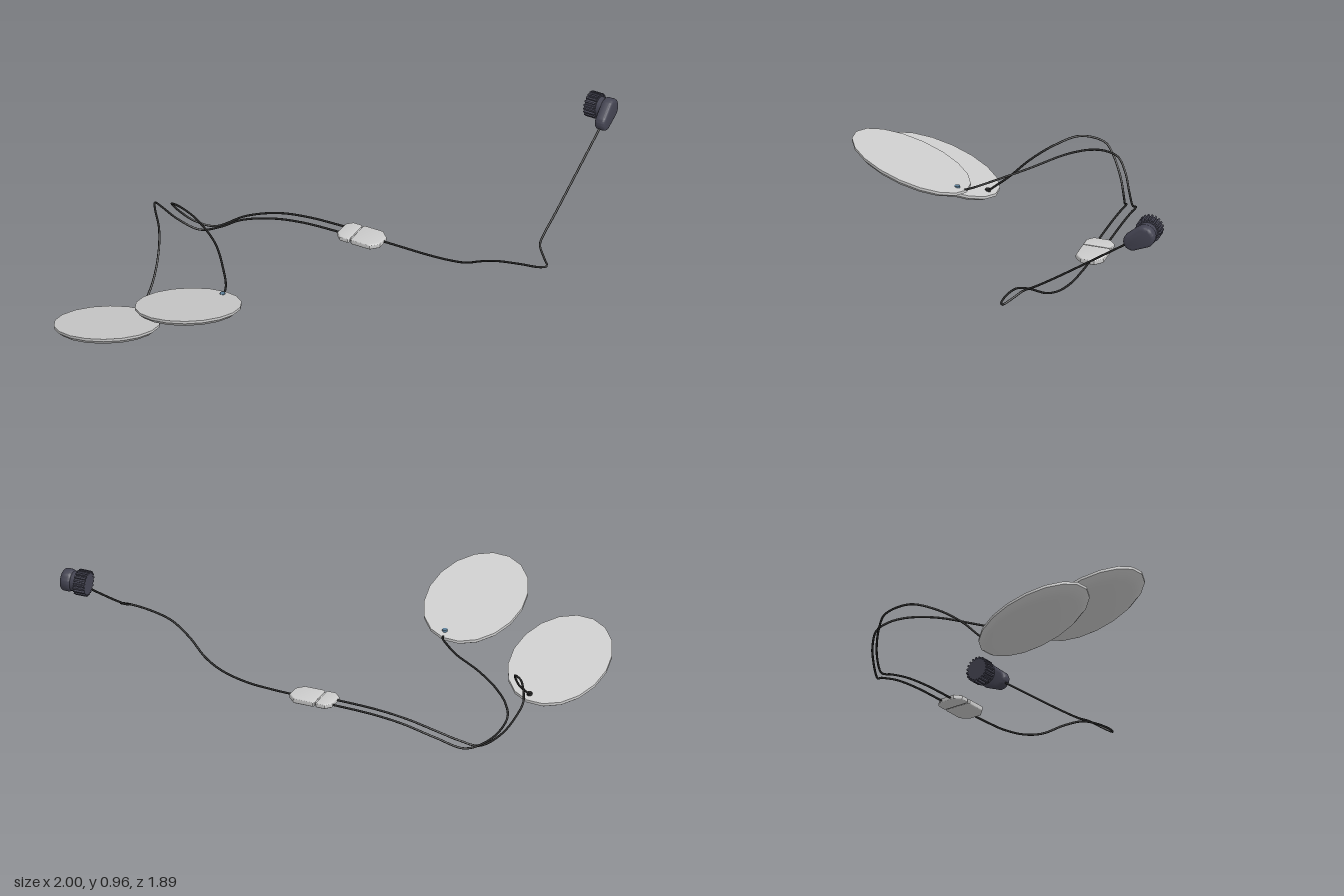
import * as THREE from 'three';
import { toCreasedNormals } from 'three/addons/utils/BufferGeometryUtils.js';

const material = color => new THREE.MeshStandardMaterial({ color });

export function createModel() {
  const model = new THREE.Group();
  const grey = material(0xcccccc);
  const black = material(0x262626);
  const charcoal = material(0x444452);
  const blue = material(0x5c7f99);

  function add(name, geometry, mat, parent = model) {
    const mesh = new THREE.Mesh(geometry, mat);
    mesh.name = name;
    parent.add(mesh);
    return mesh;
  }

  // Shallow oval pads: flat on top, chamfered below, sheared to their slope
  const padProfile = [[0, -0.042], [0.74, -0.042], [0.83, -0.039], [0.92, -0.031], [1, -0.013], [1, 0], [0, 0]]
    .map(([r, y]) => new THREE.Vector2(r, y));
  function padGeometry() {
    const g = new THREE.LatheGeometry(padProfile, 18);
    g.scale(0.219, 1, 0.28);
    g.rotateY(-0.15);
    const p = g.attributes.position;
    for (let i = 0; i < p.count; i++) p.setY(i, p.getY(i) + 0.31 * p.getZ(i) + 0.1 * p.getX(i));
    return toCreasedNormals(g, 0.5);
  }
  add('rightPad', padGeometry(), grey).position.set(-0.78, 0.108, 0.665);
  add('leftPad', padGeometry(), grey).position.set(-0.365, 0.339, 0.665);

  // Cable sockets on the pads
  const socket = new THREE.CylinderGeometry(0.012, 0.014, 0.018, 12);
  add('rightPadSocket', socket, black).position.set(-0.735, 0.038, 0.425);
  add('leftPadSocket', socket, blue).position.set(-0.315, 0.268, 0.43);

  // Cables
  function cable(name, points) {
    const curve = new THREE.CatmullRomCurve3(points.map(p => new THREE.Vector3(...p)));
    add(name, new THREE.TubeGeometry(curve, 140, 0.005, 8), black);
  }
  cable('rightPadCable', [
    [-0.09, 0.23, -0.31], [-0.3, 0.222, -0.308], [-0.45, 0.2, -0.3], [-0.6, 0.155, -0.28],
    [-0.68, 0.115, -0.245], [-0.77, 0.09, -0.212], [-0.858, 0.147, -0.165], [-0.91, 0.23, -0.11],
    [-0.922, 0.275, -0.07], [-0.872, 0.315, 0.03], [-0.798, 0.288, 0.13], [-0.75, 0.22, 0.23],
    [-0.732, 0.13, 0.32], [-0.735, 0.04, 0.42]]);
  cable('leftPadCable', [
    [-0.09, 0.23, -0.36], [-0.3, 0.222, -0.358], [-0.45, 0.2, -0.35], [-0.6, 0.15, -0.325],
    [-0.72, 0.092, -0.267], [-0.8, 0.118, -0.225], [-0.856, 0.17, -0.19], [-0.88, 0.23, -0.15],
    [-0.85, 0.27, -0.105], [-0.78, 0.305, -0.05], [-0.66, 0.328, 0.03], [-0.5, 0.318, 0.15],
    [-0.39, 0.289, 0.28], [-0.335, 0.268, 0.36], [-0.315, 0.25, 0.42]]);
  cable('mainCable', [
    [0.09, 0.228, -0.338], [0.2, 0.23, -0.335], [0.32, 0.235, -0.328], [0.45, 0.255, -0.31],
    [0.55, 0.29, -0.282], [0.65, 0.355, -0.24], [0.75, 0.405, -0.212], [0.87, 0.432, -0.204],
    [0.97, 0.443, -0.21], [0.995, 0.448, -0.225], [0.965, 0.465, -0.255], [0.92, 0.495, -0.3],
    [0.913, 0.517, -0.345], [0.922, 0.58, -0.44], [0.96, 0.85, -0.815]]);

  // Extrudes an outline with a bevel; the outline is inset so its size stays as drawn
  function slab(shape, depth, bevel, segments = 1) {
    const g = new THREE.ExtrudeGeometry(shape, {
      depth: depth - 2 * bevel, bevelEnabled: bevel > 0, bevelSize: bevel, bevelOffset: -bevel,
      bevelThickness: bevel, bevelSegments: segments, curveSegments: 12 });
    g.translate(0, 0, bevel - depth / 2);
    return toCreasedNormals(g, 0.6);
  }

  // Joined connector halves with clipped outer corners
  function connectorHalf(name, inner, outer, cut, height) {
    const h = 0.067, s = Math.sign(outer - inner);
    const pts = [[inner, -h + 0.006], [inner + s * 0.006, -h], [outer - s * cut, -h], [outer, -h + cut],
      [outer, h - cut], [outer - s * cut, h], [inner + s * 0.006, h], [inner, h - 0.006]];
    const g = slab(new THREE.Shape(pts.map(p => new THREE.Vector2(...p))), height, 0.009, 3);
    g.rotateX(-Math.PI / 2);
    add(name, g, grey).position.set(0, 0.229, -0.329);
  }
  connectorHalf('connectorSocket', -0.032, 0.104, 0.035, 0.027);
  connectorHalf('connectorPlug', -0.037, -0.112, 0.028, 0.025);
  add('connectorJoint', new THREE.BoxGeometry(0.03, 0.014, 0.1), grey).position.set(-0.035, 0.229, -0.329);

  // Angled plug, built around the axis of its ring
  const plug = new THREE.Group();
  plug.name = 'plug';
  plug.position.set(0, 0.896, -0.888);
  model.add(plug);

  // Plug body: a rounded tapering housing reaching down to the cable
  const body = new THREE.Shape();
  body.absarc(0, 0, 0.052, Math.PI / 2, Math.PI * 1.5, false);
  body.absarc(0.064, 0, 0.042, -Math.PI / 2, Math.PI / 2, false);
  const bodyGeometry = slab(body, 0.052, 0.014, 3);
  bodyGeometry.rotateZ(-0.55);
  bodyGeometry.rotateY(-Math.PI / 2);
  add('plugBody', bodyGeometry, charcoal, plug).position.x = 0.96;

  // Neck between the body and the ring
  const neck = new THREE.CylinderGeometry(0.046, 0.046, 0.04, 24);
  neck.rotateZ(Math.PI / 2);
  add('plugNeck', neck, charcoal, plug).position.x = 0.925;

  // Knurled locking ring
  const teeth = 20, outline = [];
  for (let i = 0; i < teeth; i++) {
    [[0, 0.05], [0.42, 0.05], [0.5, 0.06], [0.92, 0.06]].forEach(([t, r]) => {
      const a = (i + t) / teeth * Math.PI * 2;
      outline.push(new THREE.Vector2(r * Math.cos(a), r * Math.sin(a)));
    });
  }
  const ring = slab(new THREE.Shape(outline), 0.054, 0);
  ring.rotateY(Math.PI / 2);
  add('lockingRing', ring, charcoal, plug).position.x = 0.887;

  return model;
}
